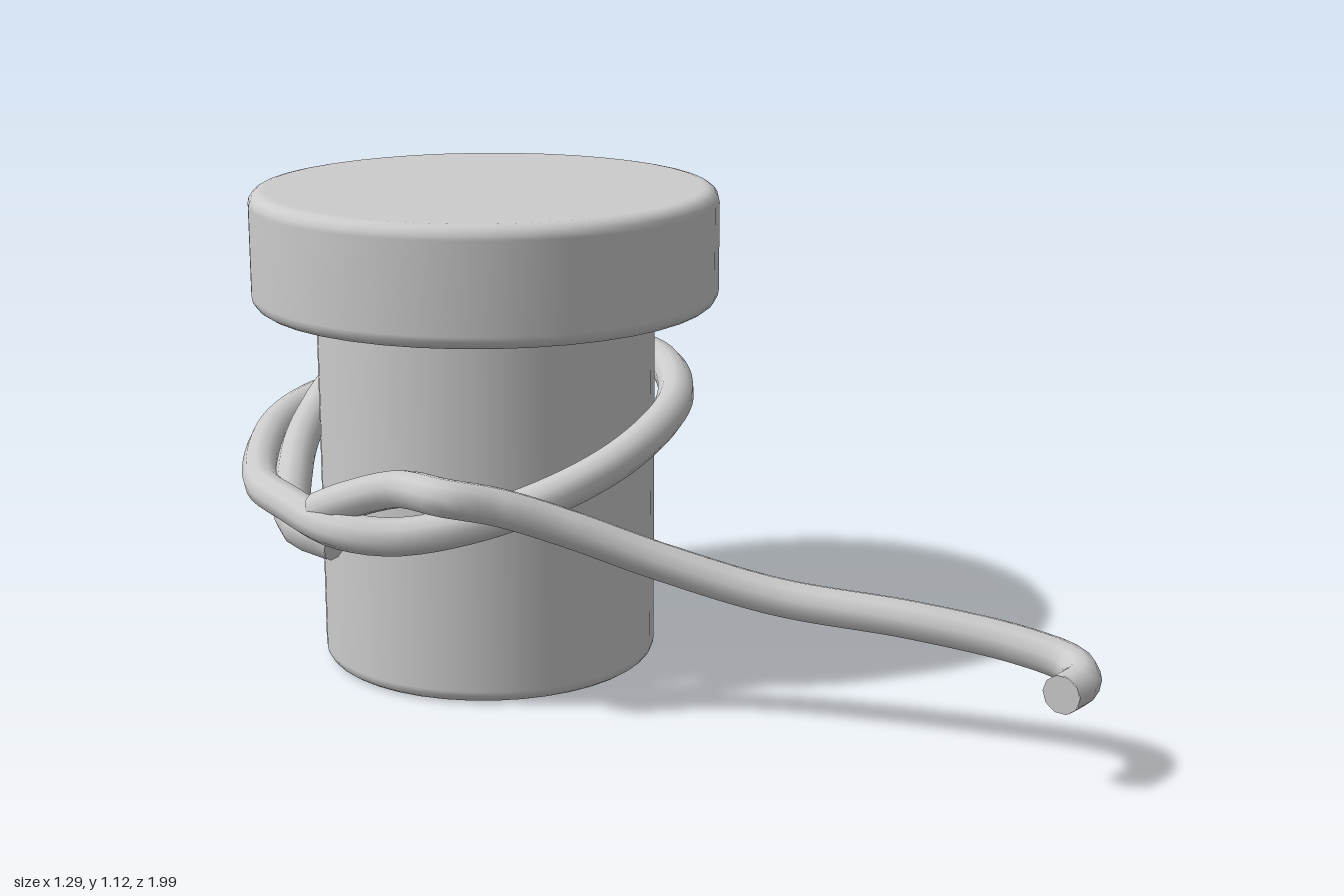
import * as THREE from 'three';

const material = new THREE.MeshStandardMaterial({ color: 0xcccccc });
const CX = -0.08, CZ = -0.455;   // axis of the stopper
const ROPE = 0.043;

function add(parent, geometry, name) {
  const mesh = new THREE.Mesh(geometry, material);
  mesh.name = name;
  parent.add(mesh);
  return mesh;
}

// Solid disc with rounded rims, turned on the stopper's axis
function roundedDisc(radius, y0, y1, bevel) {
  const p = [new THREE.Vector2(0, y0), new THREE.Vector2(radius - bevel - 0.01, y0)];
  for (let i = 0; i <= 4; i++) {
    const a = (i / 4) * Math.PI / 2;
    p.push(new THREE.Vector2(radius - bevel + bevel * Math.sin(a), y0 + bevel - bevel * Math.cos(a)));
  }
  for (let i = 0; i <= 4; i++) {
    const a = (i / 4) * Math.PI / 2;
    p.push(new THREE.Vector2(radius - bevel + bevel * Math.cos(a), y1 - bevel + bevel * Math.sin(a)));
  }
  p.push(new THREE.Vector2(radius - bevel - 0.01, y1), new THREE.Vector2(0, y1));
  return new THREE.LatheGeometry(p, 40).translate(CX, 0, CZ);
}

// Rope along a smooth path, with a flat cut at both ends
function rope(points, name, segments) {
  const group = new THREE.Group();
  group.name = name;
  const curve = new THREE.CatmullRomCurve3(points.map((q) => new THREE.Vector3(...q)), false, 'centripetal');
  add(group, new THREE.TubeGeometry(curve, segments, ROPE, 10, false), name + 'Strand');
  for (const t of [0, 1]) {
    const end = add(group, new THREE.CircleGeometry(ROPE, 10), name + 'End');
    const direction = curve.getTangentAt(t).multiplyScalar(t ? 1 : -1);
    end.position.copy(curve.getPointAt(t));
    end.quaternion.setFromUnitVectors(new THREE.Vector3(0, 0, 1), direction);
  }
  return group;
}

export function createModel() {
  const model = new THREE.Group();
  model.name = 'corkWithCord';

  // Stopper
  add(model, roundedDisc(0.395, 0.005, 0.9, 0.03), 'body');
  add(model, roundedDisc(0.543, 0.86, 1.13, 0.032), 'cap');

  // Cord wound once round the body, crossing itself on the right side
  model.add(rope([
    [-0.54, 0.375, -0.33],
    [-0.59, 0.40, -0.43],
    [-0.53, 0.485, -0.57],
    [-0.39, 0.55, -0.77],
    [-0.23, 0.63, -0.88],
    [0.02, 0.66, -0.895],
    [0.25, 0.68, -0.76],
    [0.36, 0.68, -0.56],
    [0.355, 0.675, -0.36],
    [0.24, 0.64, -0.14],
    [0.07, 0.585, -0.03],
    [-0.1, 0.53, 0.0],
    [-0.3, 0.465, -0.05],
    [-0.48, 0.43, -0.14],
    [-0.575, 0.435, -0.24],
    [-0.605, 0.45, -0.42],
    [-0.60, 0.465, -0.6],
    [-0.48, 0.53, -0.79],
    [-0.31, 0.565, -0.9],
    [-0.13, 0.58, -0.925],
  ], 'windingCord', 110));

  // Loose cord leaving the crossing and hanging forward
  model.add(rope([
    [-0.585, 0.46, -0.32],
    [-0.55, 0.50, -0.24],
    [-0.47, 0.535, -0.15],
    [-0.425, 0.54, -0.02],
    [-0.32, 0.515, 0.025],
    [-0.18, 0.46, 0.08],
    [0.0, 0.38, 0.18],
    [0.2, 0.31, 0.34],
    [0.4, 0.285, 0.56],
    [0.55, 0.255, 0.74],
    [0.6, 0.235, 0.85],
    [0.565, 0.225, 0.92],
    [0.485, 0.222, 0.95],
  ], 'looseCord', 64));

  return model;
}
